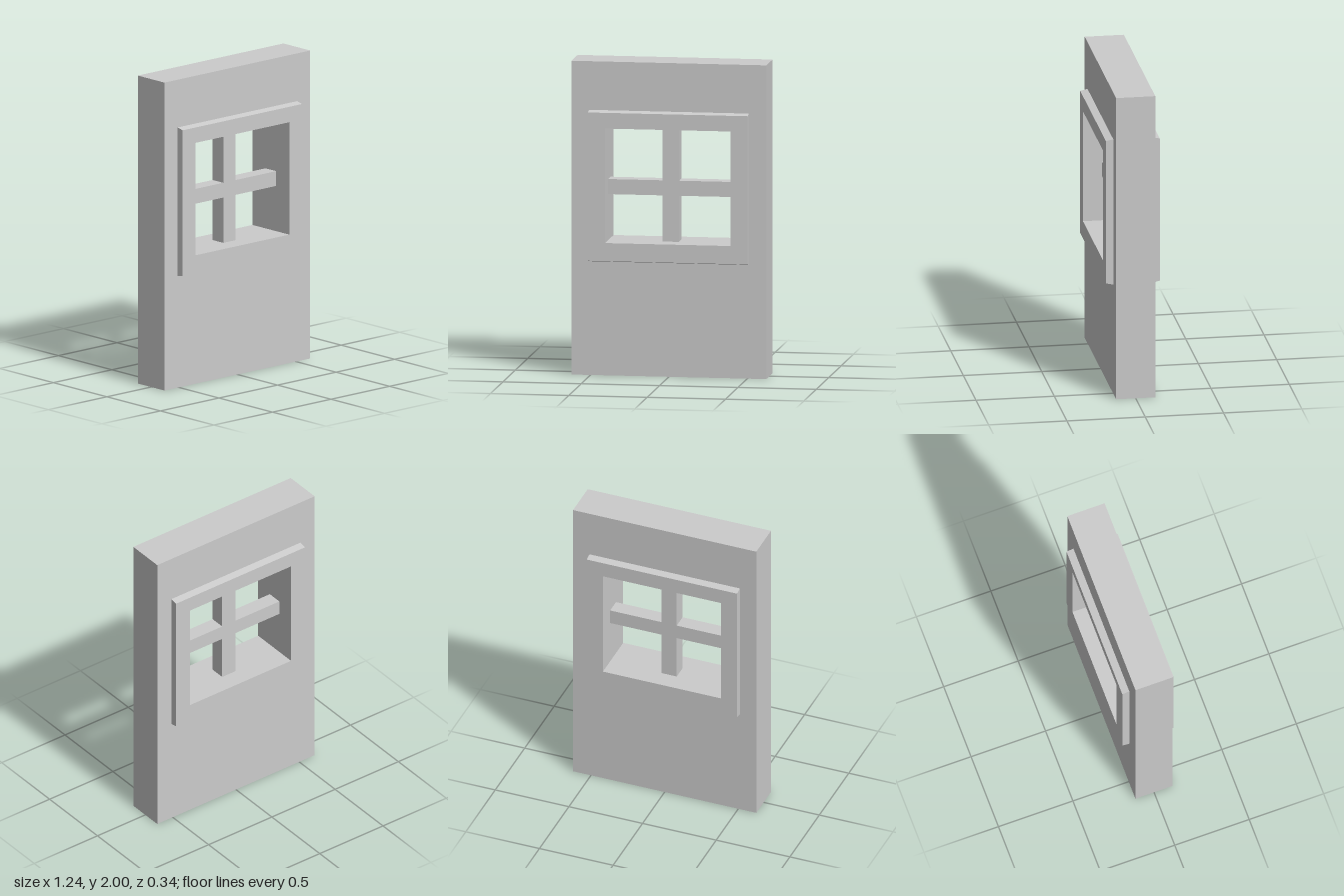
import * as THREE from 'three';

const HALF_DEPTH = 0.125;
const material = new THREE.MeshStandardMaterial({ color: 0xcccccc, flatShading: true });

// Window opening shared by the panel and the trim
const OPENING = { x: 0.4, bottom: 0.85, top: 1.58 };

function rectangle(Type, halfWidth, bottom, top) {
  return new Type([
    new THREE.Vector2(-halfWidth, bottom),
    new THREE.Vector2(halfWidth, bottom),
    new THREE.Vector2(halfWidth, top),
    new THREE.Vector2(-halfWidth, top),
  ]);
}

// Rectangular plate pierced by the window opening
function piercedPlate(halfWidth, bottom, top, depth) {
  const shape = rectangle(THREE.Shape, halfWidth, bottom, top);
  shape.holes.push(rectangle(THREE.Path, OPENING.x, OPENING.bottom, OPENING.top));
  return new THREE.ExtrudeGeometry(shape, { depth, bevelEnabled: false });
}

function addMesh(parent, name, geometry) {
  const mesh = new THREE.Mesh(geometry, material);
  mesh.name = name;
  parent.add(mesh);
  return mesh;
}

// Raised trim whose top and bottom edges slope in towards its face
function trimGeometry() {
  const bottom = 0.725, top = 1.69, depth = 0.047, slope = 0.01;
  const geometry = piercedPlate(0.51, bottom, top, depth);
  const p = geometry.attributes.position;
  for (let i = 0; i < p.count; i++) {
    if (p.getZ(i) < depth / 2) continue;
    if (p.getY(i) > top - 0.001) p.setY(i, top - slope);
    else if (p.getY(i) < bottom + 0.001) p.setY(i, bottom + slope);
  }
  geometry.computeVertexNormals();
  return geometry.translate(0, 0, HALF_DEPTH);
}

export function createModel() {
  const door = new THREE.Group();
  door.name = 'door';

  // Main slab
  const panel = piercedPlate(0.622, 0, 2, HALF_DEPTH * 2).translate(0, 0, -HALF_DEPTH);
  addMesh(door, 'doorPanel', panel);

  // Matching trim on both faces
  const trim = trimGeometry();
  addMesh(door, 'frontWindowTrim', trim);
  addMesh(door, 'backWindowTrim', trim).rotation.y = Math.PI;

  // Crossing window bars
  const height = OPENING.top - OPENING.bottom;
  const upright = addMesh(door, 'verticalBar', new THREE.BoxGeometry(0.104, height, 0.1));
  upright.position.y = OPENING.bottom + height / 2;
  for (const side of [-1, 1]) {
    const length = OPENING.x - 0.052;
    const bar = addMesh(door, side > 0 ? 'leftBar' : 'rightBar', new THREE.BoxGeometry(length, 0.096, 0.1));
    bar.position.set(side * (0.052 + length / 2), 1.192, 0);
  }

  return door;
}
